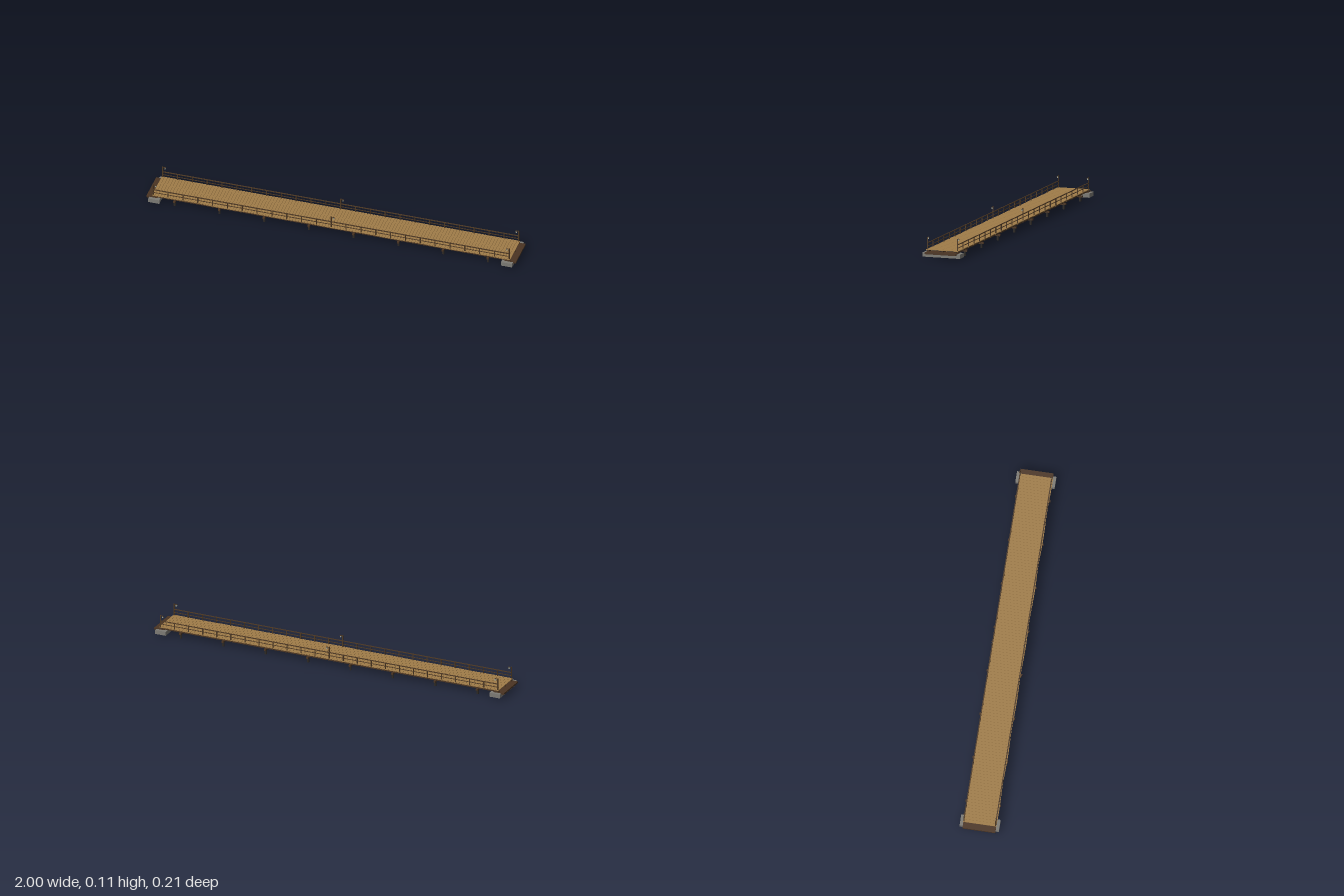
import * as THREE from 'three';
import { mergeGeometries } from 'three/addons/utils/BufferGeometryUtils.js';

const mat = (color) => new THREE.MeshStandardMaterial({ color });
const deckWood = mat(0xa07c48);
const darkWood = mat(0x4a3422);
const railWood = mat(0x4d3823);
const concrete = mat(0x7c7a74);
const iron = mat(0x2e2a26);
const glass = mat(0x9aa39a);

// Box centred at (x, y, z) with size (w, h, d)
const box = (w, h, d, x, y, z) => new THREE.BoxGeometry(w, h, d).translate(x, y, z);
const cyl = (r, h, x, y, z, sides = 8) => new THREE.CylinderGeometry(r, r, h, sides).translate(x, y, z);

export function createModel() {
  const model = new THREE.Group();
  model.name = 'footbridge';
  const add = (name, parts, material) => {
    const mesh = new THREE.Mesh(mergeGeometries(parts), material);
    mesh.name = name;
    model.add(mesh);
  };

  const half = 0.97;      // half length of the deck
  const railZ = 0.083;    // railing line
  const railEnd = 0.964;  // outermost posts

  // Deck planks, with slightly uneven ends
  const planks = [];
  const count = 120;
  const pitch = (2 * half) / count;
  for (let i = 0; i < count; i++) {
    const uneven = 0.0015 * Math.sin(i * 12.9);
    planks.push(box(pitch * 0.93, 0.0035, 0.174 + uneven, -half + (i + 0.5) * pitch, 0.0418, uneven / 2));
  }
  add('deckPlanks', planks, deckWood);

  // Three long stringers under the deck
  add('stringers', [-0.077, 0, 0.077].map((z) => box(2 * half, 0.01, 0.007, 0, 0.0352, z)), darkWood);

  // Cross beams on short pairs of piles
  const beams = [];
  const piles = [];
  for (let i = 0; i < 8; i++) {
    const x = -0.848 + i * 0.2423;
    beams.push(box(0.011, 0.009, 0.186, x, 0.0265, 0));
    for (const s of [-1, 1]) piles.push(cyl(0.0065, 0.024, x, 0.012, s * 0.0805));
  }
  add('crossBeams', beams, darkWood);
  add('piles', piles, iron);

  // Concrete abutments and the timber landings at both ends
  const abutments = [];
  const landings = [];
  for (const s of [-1, 1]) {
    abutments.push(box(0.06, 0.022, 0.206, s * 0.955, 0.018, 0));
    landings.push(box(0.06, 0.009, 0.172, s * 0.97, 0.0275, 0));
  }
  add('abutments', abutments, concrete);
  add('landings', landings, darkWood);

  // Railings: posts, top rail and middle rail on both sides
  const posts = [];
  const rails = [];
  for (const s of [-1, 1]) {
    for (let i = 0; i <= 24; i++) {
      posts.push(box(0.0045, 0.044, 0.0045, -railEnd + (i * railEnd) / 12, 0.055, s * railZ));
    }
    rails.push(box(2 * railEnd, 0.0035, 0.0055, 0, 0.0765, s * railZ));
    rails.push(box(2 * railEnd, 0.0028, 0.003, 0, 0.059, s * railZ));
  }
  add('railPosts', posts, railWood);
  add('rails', rails, railWood);

  // Lamp posts at both ends and midspan, each with an arm and hanging lantern
  const poles = [];
  const lanterns = [];
  for (const s of [-1, 1]) {
    for (const [x, dir] of [[-railEnd, 1], [0, 1], [railEnd, -1]]) {
      const z = s * railZ;
      poles.push(box(0.005, 0.068, 0.005, x, 0.074, z));
      poles.push(box(0.014, 0.002, 0.002, x + dir * 0.007, 0.106, z));
      poles.push(box(0.008, 0.0015, 0.008, x + dir * 0.013, 0.1045, z));
      lanterns.push(box(0.006, 0.008, 0.006, x + dir * 0.013, 0.1, z));
    }
  }
  add('lampPosts', poles, railWood);
  add('lanterns', lanterns, glass);

  return model;
}
